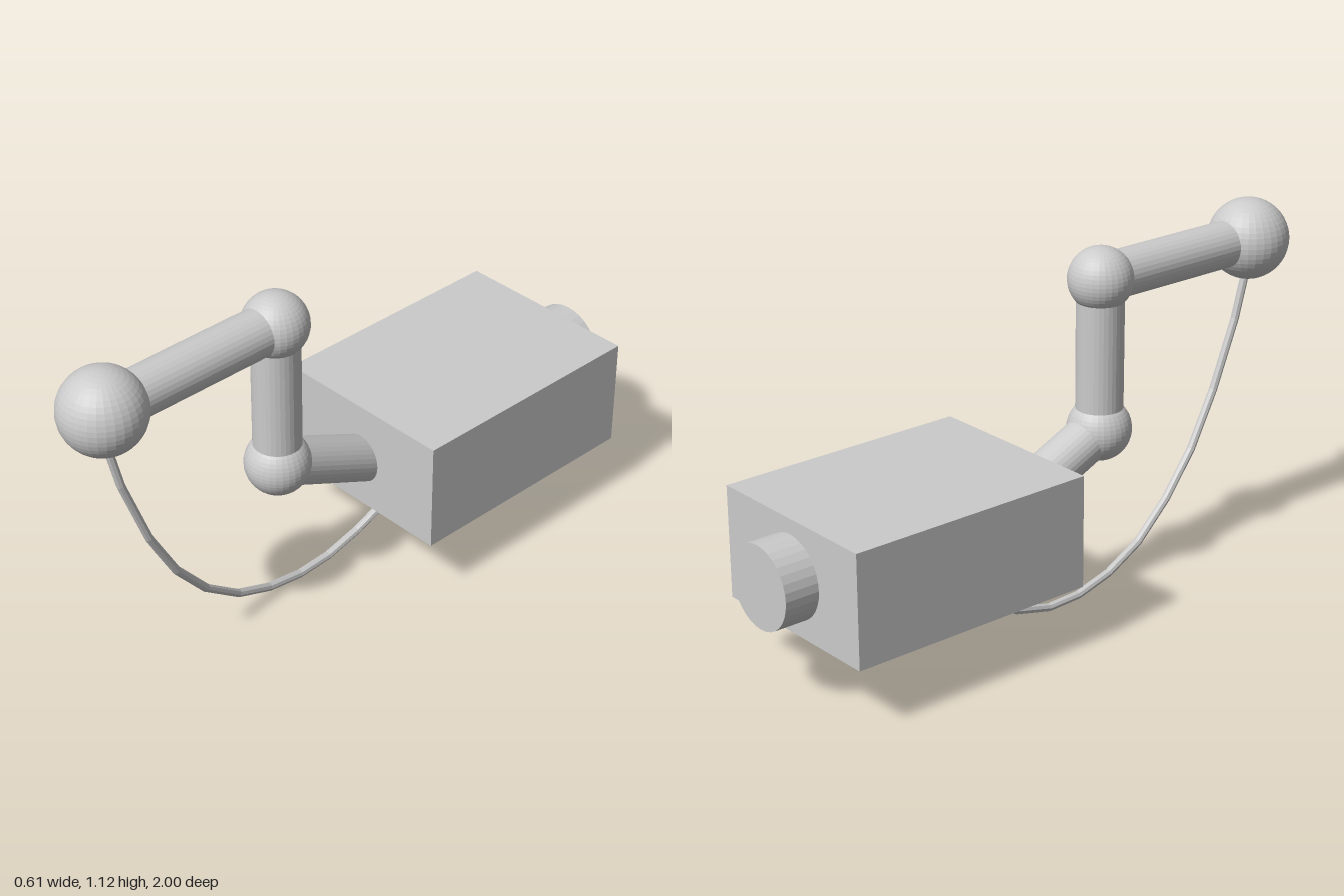
import * as THREE from 'three';

export function createModel() {
  const model = new THREE.Group();
  const material = new THREE.MeshStandardMaterial({ color: 0xcccccc, flatShading: true });

  const add = (name, geometry, x = 0, y = 0, z = 0) => {
    const mesh = new THREE.Mesh(geometry, material);
    mesh.name = name;
    mesh.position.set(x, y, z);
    model.add(mesh);
    return mesh;
  };
  const ball = (name, r, p) => add(name, new THREE.SphereGeometry(r, 32, 24), p.x, p.y, p.z);
  // Cylinder running between two points
  const rod = (name, r, a, b) => {
    const dir = b.clone().sub(a);
    const mid = a.clone().add(b).multiplyScalar(0.5);
    const mesh = add(name, new THREE.CylinderGeometry(r, r, dir.length(), 32), mid.x, mid.y, mid.z);
    mesh.quaternion.setFromUnitVectors(new THREE.Vector3(0, 1, 0), dir.normalize());
  };
  const at = (y, z) => new THREE.Vector3(0, y, z);

  // Body box with a round knob at the back
  add('body', new THREE.BoxGeometry(0.61, 0.35, 0.81), 0, 0.382, -0.485);
  rod('rearKnob', 0.128, at(0.382, -0.8), at(0.382, -1));

  // Jointed arm: balls linked by rods
  const lower = at(0.525, 0.254), upper = at(1, 0.254), head = at(1, 0.872);
  rod('lowerArm', 0.073, at(0.34, -0.15), lower);
  rod('uprightArm', 0.073, lower, upper);
  rod('upperArm', 0.073, upper, head);
  ball('lowerJoint', 0.1, lower);
  ball('upperJoint', 0.1, upper);
  ball('headBall', 0.128, head);

  // Thin hose hanging from the head ball to the underside of the body
  const points = [
    [0, 0.98, 0.872], [0.006, 0.875, 0.868], [0.012, 0.74, 0.837], [0.017, 0.52, 0.755],
    [0.009, 0.345, 0.655], [-0.001, 0.21, 0.54], [-0.018, 0.105, 0.405], [-0.032, 0.046, 0.27],
    [-0.043, 0.017, 0.135], [-0.05, 0.017, 0.01], [-0.052, 0.048, -0.115],
    [-0.045, 0.108, -0.235], [-0.028, 0.2, -0.338], [-0.012, 0.32, -0.41],
  ].map((p) => new THREE.Vector3(...p));
  const path = new THREE.CatmullRomCurve3(points);
  // One straight tube segment per control point
  path.getPointAt = path.getPoint;
  path.getTangentAt = path.getTangent;
  add('hose', new THREE.TubeGeometry(path, points.length - 1, 0.013, 8));

  return model;
}
